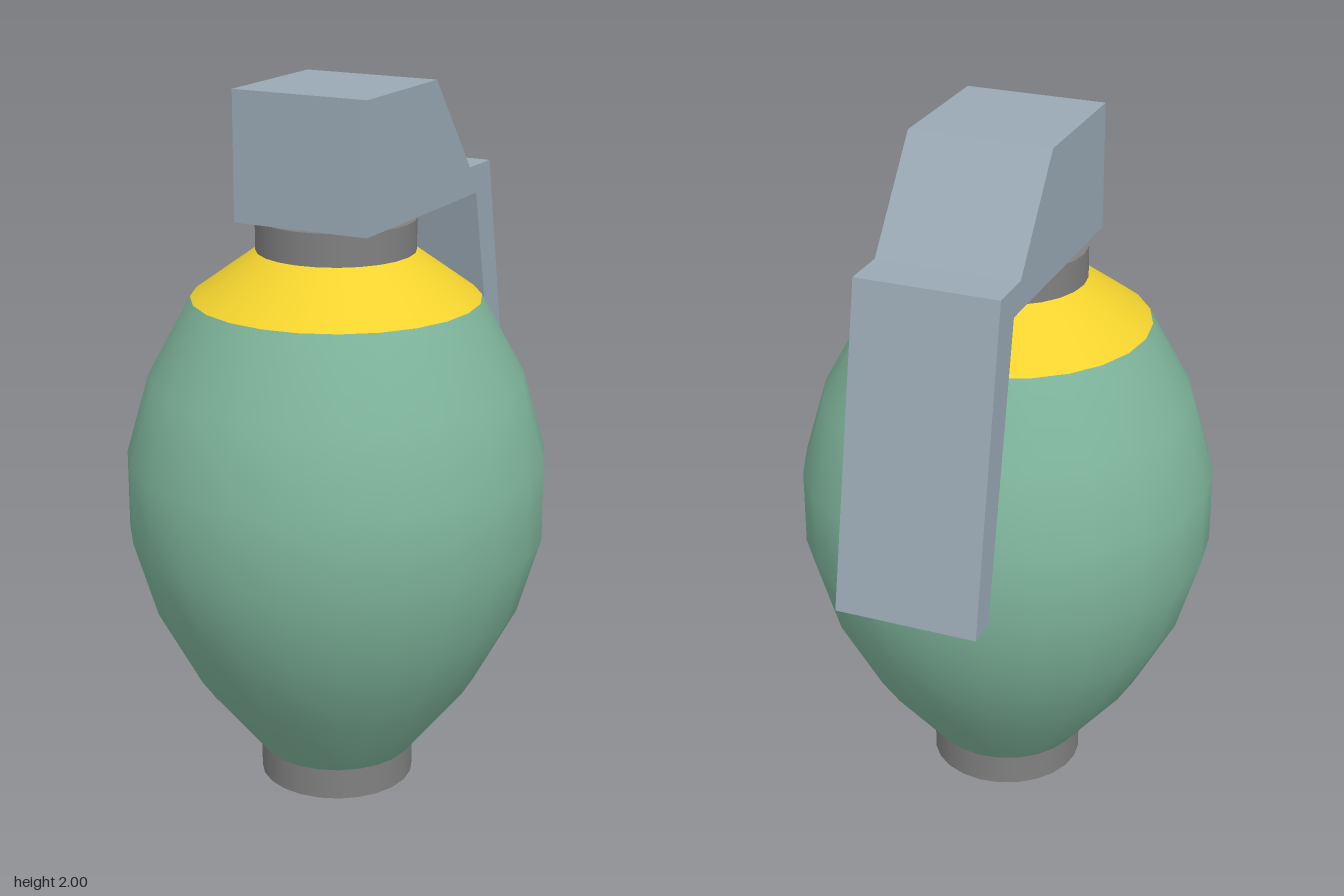
import * as THREE from 'three';

const SIDES = 24;
const AXIS_Z = 0.07; // the body sits slightly forward of centre

const paint = (color) => new THREE.MeshStandardMaterial({ color });

export function createModel() {
  const model = new THREE.Group();

  const add = (name, geometry, material, y = 0, z = 0) => {
    const mesh = new THREE.Mesh(geometry, material);
    mesh.name = name;
    mesh.position.set(0, y, z);
    model.add(mesh);
  };

  const lathe = (profile) =>
    new THREE.LatheGeometry(profile.map(([r, y]) => new THREE.Vector2(r, y)), SIDES);

  // Egg-shaped body, with a coloured band on its shoulder
  const body = [
    [0.22, 0.09], [0.4, 0.315], [0.52, 0.54], [0.585, 0.76],
    [0.585, 0.98], [0.52, 1.205], [0.4, 1.425],
  ];
  add('body', lathe(body), paint(0x7fb59c), 0, AXIS_Z);
  add('shoulderBand', lathe([[0.4, 1.425], [0.22, 1.555]]), paint(0xf2d22e), 0, AXIS_Z);

  // Base and neck rings
  const ring = new THREE.CylinderGeometry(0.22, 0.22, 0.09, SIDES);
  const metal = paint(0x808080);
  add('baseRing', ring, metal, 0.045, AXIS_Z);
  add('neckRing', ring, metal, 1.6, AXIS_Z);

  // Head block and lever: one side outline (z, y) given the full width in x
  const outline = [
    [0.27, 1.645], [-0.395, 1.645], [-0.57, 0.845], [-0.655, 0.845],
    [-0.482, 1.725], [-0.35, 1.725], [-0.13, 2], [0.27, 2],
  ];
  const shape = new THREE.Shape(outline.map(([z, y]) => new THREE.Vector2(-z, y)));
  const lever = new THREE.ExtrudeGeometry(shape, { depth: 0.4, bevelEnabled: false });
  lever.translate(0, 0, -0.2).rotateY(Math.PI / 2);
  add('headAndLever', lever, paint(0x9aa9b5));

  return model;
}
